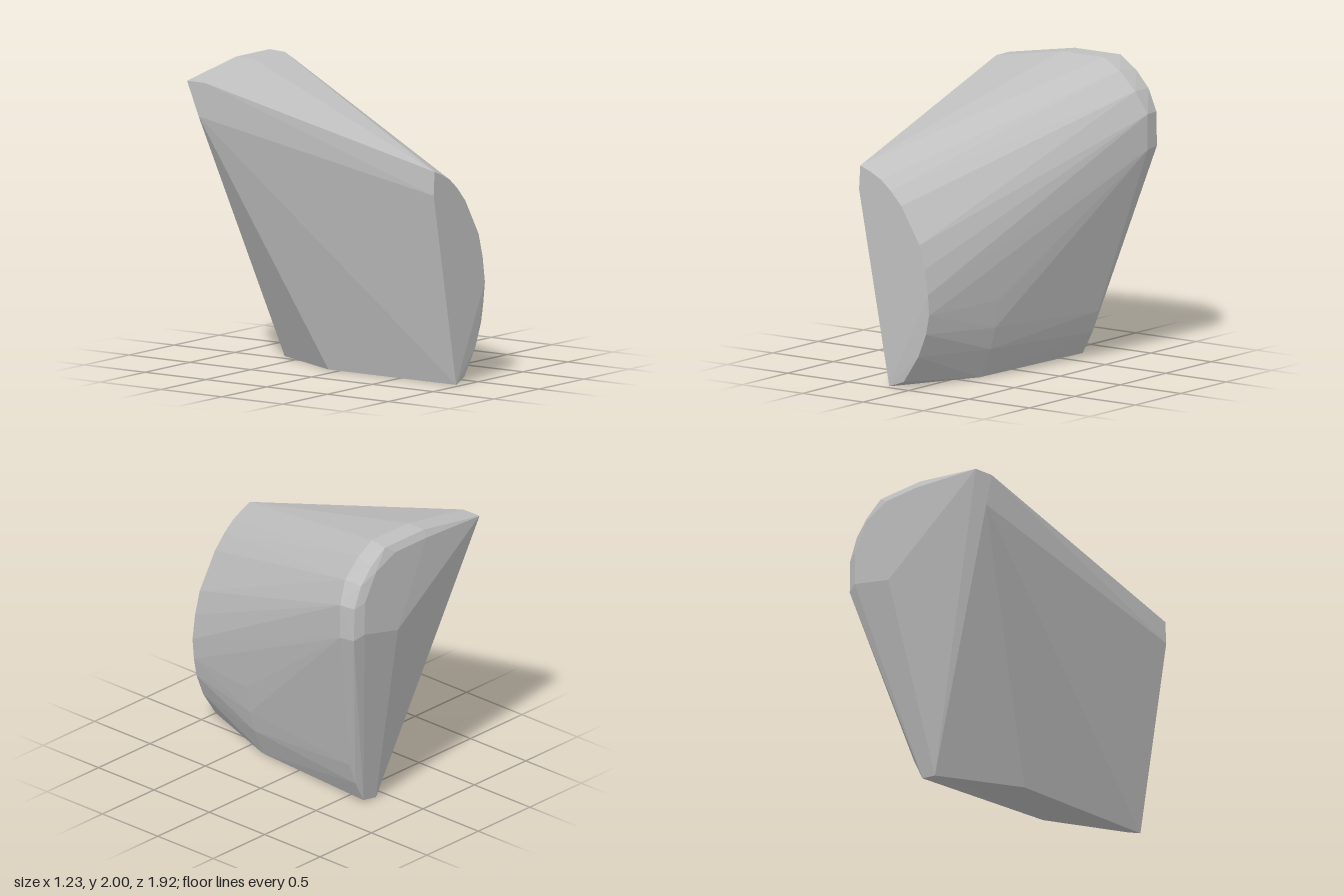
import * as THREE from 'three';
import { ConvexGeometry } from 'three/addons/geometries/ConvexGeometry.js';

export function createModel() {
  const group = new THREE.Group();
  const stone = new THREE.MeshStandardMaterial({ color: 0xbfbfbf });
  stone.name = 'stone grey';

  const points = [];
  // Adds [x, y] points at a shared depth
  const ring = (z, list) => list.forEach(([x, y]) => points.push(new THREE.Vector3(x, y, z)));

  // Flat front face: straight left edge, curved right edge
  ring(0.96, [[-0.19, 0], [-0.44, 1.3], [-0.43, 1.46], [-0.35, 1.43], [-0.26, 1.385],
    [-0.18, 1.32], [-0.09, 1.225], [0.06, 0.98], [0.105, 0.82], [0.13, 0.65]]);
  ring(0.947, [[0.13, 0.51], [0.105, 0.38], [0.04, 0.22], [-0.08, 0.04]]);

  // Bulge of the lower right side, and the bottom corners
  ring(0.35, [[0.1, 0], [0.19, 0.2], [0.23, 0.35], [0.26, 0.54]]);
  ring(-0.09, [[-0.19, 0]]);
  ring(-0.65, [[0.08, 0], [0.2, 0.02], [0.28, 0.17], [0.33, 0.32]]);

  // Top shoulder ahead of the back rim
  ring(-0.79, [[-0.62, 1.91], [-0.08, 2], [0.27, 2], [0.4, 1.925], [0.53, 1.8]]);
  ring(-0.82, [[0.61, 1.65], [0.61, 1.41]]);
  ring(-0.84, [[-0.62, 1.68]]);

  // Bevelled back rim
  ring(-0.935, [[-0.62, 1.91], [-0.08, 2], [0.3, 2], [0.43, 1.91], [0.53, 1.8],
    [0.595, 1.65], [0.6, 1.42]]);

  // Flat back face
  ring(-0.96, [[0.2, 1.37], [0.525, 1.45], [0.52, 1.68], [0.41, 1.87], [0.22, 1.95], [-0.08, 1.95]]);

  const body = new THREE.Mesh(new ConvexGeometry(points), stone);
  body.name = 'facetedBlock';
  group.add(body);
  return group;
}
